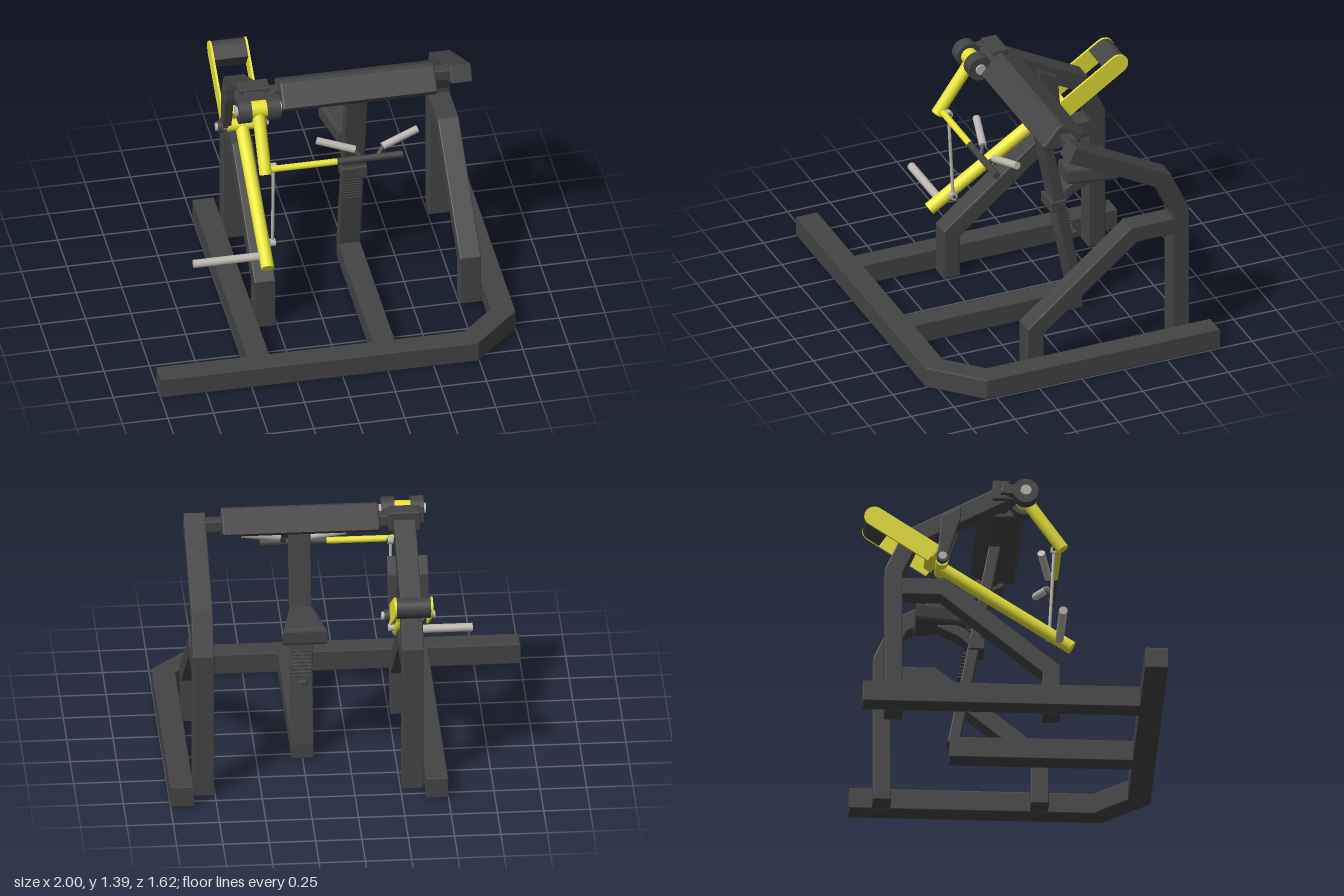
import * as THREE from 'three';
import { RoundedBoxGeometry } from 'three/addons/geometries/RoundedBoxGeometry.js';

const dark = new THREE.MeshStandardMaterial({ color: 0x444444 });
const yellow = new THREE.MeshStandardMaterial({ color: 0xe8e436 });
const steel = new THREE.MeshStandardMaterial({ color: 0xbcb8b0 });

// Offsets a centre line to both sides with mitred corners
function ribbon(path, t) {
  const p = path.map(([x, y]) => new THREE.Vector2(x, y));
  const normal = (a, b) => { const d = b.clone().sub(a).normalize(); return new THREE.Vector2(-d.y, d.x); };
  const left = [], right = [];
  p.forEach((q, i) => {
    const n1 = normal(p[Math.max(i - 1, 0)], p[Math.max(i, 1)]);
    const n2 = i < p.length - 1 ? normal(q, p[i + 1]) : n1;
    const m = n1.clone().add(n2).normalize();
    m.multiplyScalar(t / 2 / m.dot(n1));
    left.push(q.clone().add(m));
    right.unshift(q.clone().sub(m));
  });
  return [...left, ...right];
}

function extrude(points, width, bevel) {
  const g = new THREE.ExtrudeGeometry(new THREE.Shape(points), {
    depth: width - 2 * bevel, bevelEnabled: bevel > 0, bevelSize: bevel,
    bevelThickness: bevel, bevelOffset: -bevel, bevelSegments: 2,
  });
  return g.translate(0, 0, -width / 2 + bevel);
}
const toVec = (list) => list.map(([a, b]) => new THREE.Vector2(a, b));

// Outline with rounded far end, in (z, y)
function tongue(a, b, r) {
  const ang = Math.atan2(b[1] - a[1], b[0] - a[0]);
  const pts = [];
  for (let i = 0; i <= 14; i++) {
    const t = ang - Math.PI / 2 + Math.PI * i / 14;
    pts.push([b[0] + r * Math.cos(t), b[1] + r * Math.sin(t)]);
  }
  const nx = -Math.sin(ang) * r, ny = Math.cos(ang) * r;
  pts.push([a[0] + nx, a[1] + ny], [a[0] - nx, a[1] - ny]);
  return toVec(pts);
}

export function createModel() {
  const model = new THREE.Group();
  const add = (name, geo, mat, x = 0, y = 0, z = 0) => {
    const m = new THREE.Mesh(geo, mat);
    m.name = name;
    m.position.set(x, y, z);
    model.add(m);
    return m;
  };
  // Outline in (z, y) extruded along x
  const side = (name, pts, x, width, mat, bevel = 0.006) =>
    add(name, extrude(pts, width, bevel).rotateY(-Math.PI / 2), mat, x);
  // Outline in (x, z) extruded along y
  const flat = (name, pts, y, height, mat, bevel = 0.006) =>
    add(name, extrude(pts.map((p) => new THREE.Vector2(p.x, -p.y)), height, bevel).rotateX(-Math.PI / 2), mat, 0, y);
  const rod = (name, a, b, r, mat, seg = 24) => {
    const A = new THREE.Vector3(...a), B = new THREE.Vector3(...b), d = B.clone().sub(A);
    const m = add(name, new THREE.CylinderGeometry(r, r, d.length(), seg), mat);
    m.position.copy(A).add(B).multiplyScalar(0.5);
    m.quaternion.setFromUnitVectors(new THREE.Vector3(0, 1, 0), d.normalize());
    return m;
  };
  const box = (name, w, h, d, mat, x, y, z, r = 0.006) =>
    add(name, new RoundedBoxGeometry(w, h, d, 2, r), mat, x, y, z);

  // Floor frame
  flat('baseFrame', ribbon([[-1, 0.745], [0.718, 0.745], [0.9375, 0.53], [0.9375, -0.81]], 0.125), 0.065, 0.12, dark);
  box('leftBaseRail', 0.12, 0.12, 1.5, dark, -0.44, 0.065, -0.06);
  box('middleBaseRail', 0.12, 0.12, 1.01, dark, 0.25, 0.065, 0.2);

  // Two side frames: rear post bent into the top tube, and a lower brace
  for (const x of [-0.317, 0.813]) {
    side('sideFrame', ribbon([[-0.638, 0.005], [-0.638, 0.835], [-0.543, 1.042], [0, 1.332]], 0.098), x, 0.117, dark);
    side('sideBrace', ribbon([[0.213, 0.005], [0.213, 0.275], [-0.365, 0.748], [-0.6, 0.748]], 0.097), x, 0.116, dark);
  }

  // Chest pad and its mounting stubs
  side('chestPad', toVec([[-0.035, 1.40], [-0.01, 1.395], [0.08, 1.29], [0.06, 1.258], [-0.09, 1.258], [-0.168, 1.312], [-0.158, 1.33]]), 0.245, 0.85, dark, 0.01);
  box('rightPadMount', 0.14, 0.064, 0.064, dark, 0.72, 1.315, -0.05);
  box('leftPadMount', 0.14, 0.064, 0.064, dark, -0.22, 1.315, -0.05);
  box('pivotCollar', 0.17, 0.11, 0.09, dark, -0.317, 1.32, -0.06);

  // Seat post with adjustment ribs
  side('seatPost', ribbon([[-0.058, 1.28], [-0.285, 0.09]], 0.063), 0.25, 0.12, dark);
  const postZ = (y) => -0.058 - (1.28 - y) * 0.1908;
  for (let i = 0; i < 15; i++) {
    const y = 0.475 + i * 0.02;
    if (y > 0.63 && y < 0.71) continue;
    const rib = box('adjustmentRib', 0.11, 0.01, 0.082, dark, 0.25, y, postZ(y) - 0.007, 0.003);
    rib.rotation.x = 0.19;
  }
  box('adjustmentStop', 0.05, 0.025, 0.05, dark, 0.25, 0.45, -0.265).rotation.x = 0.25;

  // Seat, its slide and curved support
  flat('seat', toVec([[0.13, -0.49], [0.37, -0.49], [0.315, -0.215], [0.185, -0.215]]), 0.84, 0.1, dark, 0.018);
  box('seatSlide', 0.145, 0.065, 0.09, dark, 0.25, 0.675, -0.16);
  side('seatSupport', ribbon([[-0.165, 0.68], [-0.235, 0.745], [-0.36, 0.805]], 0.06), 0.25, 0.1, dark);

  // Hanger plates and main lever pivot
  for (const x of [-0.402, -0.232]) {
    side('leverHanger', toVec([[-0.275, 1.205], [-0.385, 1.145], [-0.405, 0.9], [-0.38, 0.872], [-0.352, 0.9], [-0.28, 1.13]]), x, 0.05, dark);
  }
  rod('leverAxle', [-0.46, 0.897, -0.378], [-0.17, 0.897, -0.378], 0.022, steel);
  for (const x of [-0.435, -0.199]) rod('axleWasher', [x - 0.014, 0.897, -0.378], [x + 0.014, 0.897, -0.378], 0.033, dark);
  rod('leverSleeve', [-0.395, 0.897, -0.378], [-0.235, 0.897, -0.378], 0.034, yellow);

  // Main lever with fork plates and counterweight
  rod('mainLever', [-0.315, 0.43, 0.326], [-0.315, 0.885, -0.378], 0.036, yellow);
  box('forkCrossbar', 0.2, 0.075, 0.05, yellow, -0.316, 0.945, -0.43).rotation.x = 0.58;
  for (const x of [-0.414, -0.218]) {
    side('forkPlate', tongue([-0.425, 0.928], [-0.743, 1.138], 0.056), x, 0.012, yellow, 0);
  }
  side('counterweight', tongue([-0.68, 1.096], [-0.743, 1.138], 0.053), -0.316, 0.186, dark, 0);
  rod('weightHorn', [-0.71, 0.468, 0.258], [-0.31, 0.468, 0.258], 0.023, steel);

  // Upper swing arm with pivot discs
  for (const x of [-0.395, -0.237]) rod('pivotDisc', [x - 0.035, 1.306, 0.072], [x + 0.035, 1.306, 0.072], 0.069, dark, 32);
  rod('pivotBolt', [-0.443, 1.306, 0.072], [-0.19, 1.306, 0.072], 0.029, steel);
  rod('pivotSleeve', [-0.362, 1.306, 0.072], [-0.27, 1.306, 0.072], 0.046, yellow);
  rod('swingArm', [-0.317, 1.32, 0.062], [-0.317, 1.013, 0.278], 0.034, yellow);
  side('pivotLink', ribbon([[0.04, 1.31], [-0.06, 1.32]], 0.06), -0.4, 0.05, dark);
  side('pivotLink', ribbon([[0.04, 1.31], [-0.06, 1.32]], 0.06), -0.234, 0.05, dark);

  // Linkage between swing arm and main lever
  rod('linkRod', [-0.265, 1.03, 0.233], [-0.265, 0.513, 0.206], 0.009, steel, 12);
  for (const [y, z] of [[1.03, 0.233], [0.513, 0.206]]) {
    rod('linkEnd', [-0.28, y, z], [-0.25, y, z], 0.021, steel, 20);
    rod('linkPin', [-0.315, y, z], [-0.245, y, z], 0.009, dark, 12);
  }

  // Cross handle bar with two angled grips
  rod('handleBar', [-0.317, 1.03, 0.255], [0.08, 1.03, 0.255], 0.018, yellow);
  rod('handleBarEnd', [0.08, 1.03, 0.255], [0.44, 1.03, 0.255], 0.019, dark);
  for (const s of [-1, 1]) {
    const x = 0.26;
    rod('grip', [x + s * 0.277, 1.128, 0.177], [x + s * 0.075, 1.075, 0.226], 0.021, steel, 10);
    rod('gripStem', [x + s * 0.08, 1.076, 0.225], [x + s * 0.045, 1.035, 0.25], 0.013, dark, 12);
  }
  return model;
}
